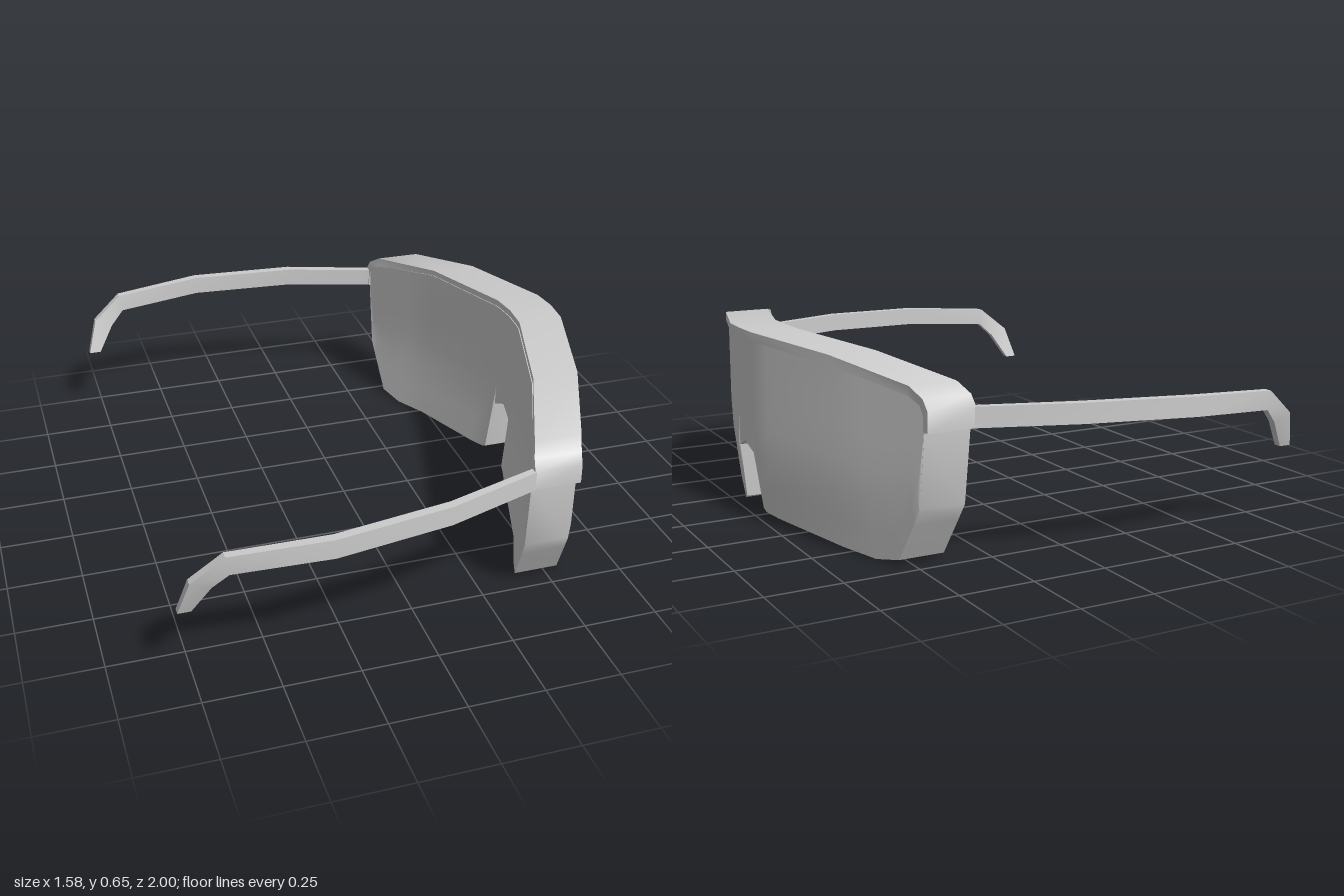
import * as THREE from 'three';
import { toCreasedNormals } from 'three/addons/utils/BufferGeometryUtils.js';

const material = new THREE.MeshStandardMaterial({ color: 0xcccccc });

// Solid skin through a row of equal-length rings, capped at both ends
function loft(rings, crease = 0.7) {
  const n = rings[0].length, last = (rings.length - 1) * n;
  const points = rings.flat();
  const index = [];
  for (let i = 0; i < rings.length - 1; i++) {
    for (let j = 0; j < n; j++) {
      const a = i * n + j, b = i * n + (j + 1) % n;
      index.push(a, b, b + n, a, b + n, a + n);
    }
  }
  // each cap joins the two opposite halves of its ring
  for (let j = 0; j < n / 2 - 1; j++) {
    const k = n - 1 - j;
    index.push(j, k, k - 1, j, k - 1, j + 1);
    index.push(last + j, last + k - 1, last + k, last + j, last + j + 1, last + k - 1);
  }
  // turn the faces outward if the rings ran the other way
  const v = points.map((p) => new THREE.Vector3(...p));
  let volume = 0;
  for (let i = 0; i < index.length; i += 3) {
    volume += v[index[i]].dot(v[index[i + 1]].clone().cross(v[index[i + 2]]));
  }
  if (volume < 0) index.reverse();
  const geometry = new THREE.BufferGeometry();
  geometry.setAttribute('position', new THREE.Float32BufferAttribute(points.flat(), 3));
  geometry.setIndex(index);
  return toCreasedNormals(geometry, crease);
}

// Linear interpolation in a table of [key, value]
function lookup(table, key) {
  let i = 1;
  while (i < table.length - 1 && key > table[i][0]) i++;
  const [[k0, v0], [k1, v1]] = [table[i - 1], table[i]];
  return v0 + (v1 - v0) * (key - k0) / (k1 - k0);
}

// Wrap-around curve of the front face: x against distance from the middle
const wrap = [[0, 0.787], [0.1, 0.78], [0.47, 0.67], [0.82, 0.525], [0.845, 0.52]];
const frontX = (z) => lookup(wrap, Math.abs(z));

// Half list (centre first) to full list, with a side sign per entry
const bothSides = (half, make) => [
  ...half.slice(1).reverse().map((s) => make(s, -1)),
  ...half.map((s) => make(s, 1)),
];

// Thick one-piece lens: [z, top y, bottom y], with the nose notch in the middle
function lensGeometry() {
  const half = [
    [0, 0.63, 0.27], [0.065, 0.63, 0.24], [0.08, 0.629, 0.05], [0.1, 0.628, 0.04],
    [0.16, 0.625, 0.032], [0.47, 0.61, 0.012], [0.6, 0.582, 0.002], [0.69, 0.565, 0.02],
    [0.76, 0.55, 0.145], [0.79, 0.53, 0.2], [0.815, 0.51, 0.44],
  ];
  const rows = 6;
  return loft(bothSides(half, ([z, top, bottom], side) => {
    const front = [], back = [];
    for (let r = 0; r <= rows; r++) {
      const y = top + (bottom - top) * r / rows;
      const x = frontX(z) - 0.03 * Math.max(0, (0.25 - y) / 0.25);
      front.push([x - 0.01, y, z * side]);
      back.unshift([x - 0.163, y, z * side]);
    }
    return [...front, ...back];
  }));
}

// Brow frame: [outer z, outer y, inner z, inner y], turning down at the ends
function browGeometry() {
  const half = [
    [0, 0.653, 0, 0.622], [0.1, 0.651, 0.1, 0.62], [0.47, 0.63, 0.47, 0.6],
    [0.77, 0.577, 0.76, 0.546], [0.82, 0.545, 0.8, 0.522], [0.843, 0.51, 0.812, 0.495],
    [0.843, 0.445, 0.812, 0.445],
  ];
  return loft(bothSides(half, ([zo, yo, zi, yi], side) => {
    const x = frontX(zo);
    return [
      [x, yo, zo * side], [x - 0.16, yo, zo * side],
      [x - 0.16, yi, zi * side], [x, yi, zi * side],
    ];
  }));
}

// Temple arm: [top x, top y, bottom x, bottom y, outer z, inner z]
function templeGeometry(side) {
  const stations = [
    [0.38, 0.51, 0.38, 0.445, 0.838, 0.812],
    [0.05, 0.51, 0.05, 0.445, 0.95, 0.918],
    [-0.33, 0.5, -0.33, 0.435, 1.0, 0.968],
    [-0.65, 0.478, -0.64, 0.415, 0.96, 0.932],
    [-0.755, 0.39, -0.69, 0.365, 0.938, 0.91],
    [-0.79, 0.27, -0.748, 0.27, 0.905, 0.88],
  ];
  return loft(stations.map(([xt, yt, xb, yb, zo, zi]) => [
    [xt, yt, zo * side], [xt, yt, zi * side],
    [xb, yb, zi * side], [xb, yb, zo * side],
  ]), 0.5);
}

export function createModel() {
  const model = new THREE.Group();
  model.name = 'wraparoundGlasses';
  const add = (name, geometry) => {
    const mesh = new THREE.Mesh(geometry, material);
    mesh.name = name;
    model.add(mesh);
  };
  add('lens', lensGeometry());
  add('browFrame', browGeometry());
  add('templeArmFront', templeGeometry(1));
  add('templeArmBack', templeGeometry(-1));
  return model;
}
